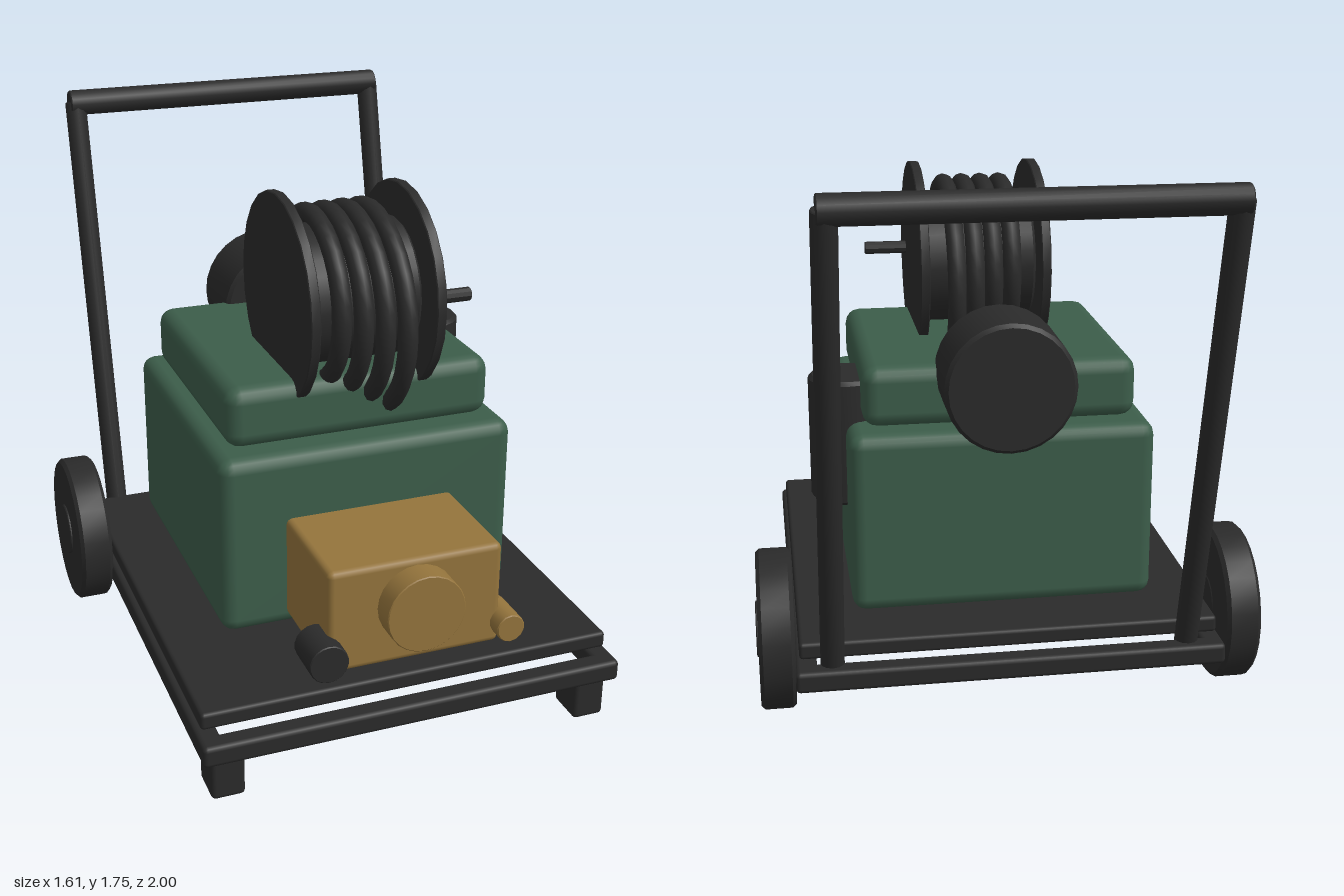
import * as THREE from 'three';
import { toCreasedNormals } from 'three/addons/utils/BufferGeometryUtils.js';
import { RoundedBoxGeometry } from 'three/addons/geometries/RoundedBoxGeometry.js';

function flatColour(name, color) {
  const m = new THREE.MeshStandardMaterial({ color });
  m.name = name;
  return m;
}

export function createModel() {
  const model = new THREE.Group();
  model.name = 'portableWasher';
  const black = flatColour('black', 0x2a2a2a);
  const green = flatColour('green', 0x3c5d4a);
  const brass = flatColour('brass', 0x94743c);

  function add(name, geometry, material, x, y, z, parent = model) {
    const mesh = new THREE.Mesh(geometry, material);
    mesh.name = name;
    mesh.position.set(x, y, z);
    parent.add(mesh);
    return mesh;
  }

  // Rounded box given by its lower and upper corners
  function box(name, material, [x0, y0, z0], [x1, y1, z1], radius) {
    const geometry = new RoundedBoxGeometry(x1 - x0, y1 - y0, z1 - z0, 2, radius);
    return add(name, geometry, material, (x0 + x1) / 2, (y0 + y1) / 2, (z0 + z1) / 2);
  }

  // Cylinder with bevelled rims, along the x, y or z axis
  function drum(name, material, axis, radius, length, bevel, position, sides = 24, parent = model) {
    const h = length / 2;
    const profile = [[0, -h], [radius - bevel, -h], [radius, -h + bevel],
      [radius, h - bevel], [radius - bevel, h], [0, h]];
    const lathe = new THREE.LatheGeometry(profile.map(p => new THREE.Vector2(...p)), sides);
    const geometry = toCreasedNormals(lathe, 0.6);
    if (axis === 'x') geometry.rotateZ(-Math.PI / 2);
    if (axis === 'z') geometry.rotateX(Math.PI / 2);
    return add(name, geometry, material, ...position, parent);
  }

  // Base frame and deck
  box('frontRail', black, [-0.69, 0.14, 0.91], [0.69, 0.21, 0.98], 0.015);
  box('rearRail', black, [-0.69, 0.14, -0.66], [0.69, 0.21, -0.59], 0.015);
  for (const s of [-1, 1]) {
    const side = s < 0 ? 'right' : 'left';
    box(side + 'Rail', black, [s * 0.655 - 0.035, 0.14, -0.66], [s * 0.655 + 0.035, 0.21, 0.98], 0.015);
    box(side + 'Foot', black, [s * 0.607 - 0.053, 0, 0.82], [s * 0.607 + 0.053, 0.14, 0.95], 0.015);

    // Wheels with raised hubs
    drum(side + 'Wheel', black, 'x', 0.257, 0.112, 0.012, [s * 0.743, 0.26, -0.42], 28);
    drum(side + 'Hub', black, 'x', 0.09, 0.122, 0.003, [s * 0.745, 0.26, -0.42], 16);

    // Sloping handle uprights
    const bottom = new THREE.Vector3(s * 0.572, 0.19, -0.59);
    const top = new THREE.Vector3(s * 0.572, 1.71, -0.95);
    const upright = drum(side + 'HandleUpright', black, 'y', 0.038, bottom.distanceTo(top), 0.003,
      bottom.clone().lerp(top, 0.5).toArray(), 12);
    upright.quaternion.setFromUnitVectors(new THREE.Vector3(0, 1, 0), top.clone().sub(bottom).normalize());
  }
  box('deck', black, [-0.675, 0.222, -0.59], [0.675, 0.277, 0.905], 0.012);
  drum('handleGrip', black, 'x', 0.045, 1.19, 0.004, [0, 1.708, -0.95], 14);

  // Engine housing
  box('housing', green, [-0.493, 0.3, -0.443], [0.493, 0.897, 0.547], 0.045);
  box('housingTop', green, [-0.443, 0.897, -0.37], [0.443, 1.097, 0.47], 0.05);

  // Pump with end cap, outlet and knob
  box('pump', brass, [-0.282, 0.338, 0.5], [0.282, 0.68, 0.92], 0.02);
  drum('pumpCap', brass, 'z', 0.126, 0.12, 0.003, [0, 0.535, 0.94]);
  drum('outlet', brass, 'z', 0.046, 0.14, 0.003, [0.295, 0.41, 0.905], 14);
  drum('knob', black, 'z', 0.062, 0.14, 0.003, [-0.298, 0.41, 0.905], 18);

  // Rear muffler and side canister
  drum('muffler', black, 'z', 0.208, 0.267, 0.012, [0, 1.07, -0.436], 28);
  drum('canister', black, 'y', 0.125, 0.42, 0.012, [0.48, 0.82, -0.16], 20);

  // Hose reel: core, flanges, crank and sagging hose loops
  const reel = new THREE.Group();
  reel.name = 'hoseReel';
  reel.position.set(0, 1.314, 0.27);
  model.add(reel);
  drum('reelCore', black, 'x', 0.222, 0.38, 0.012, [0, 0, 0], 24, reel);
  for (const s of [-1, 1]) {
    drum('reelFlange', black, 'x', 0.333, 0.032, 0.003, [s * 0.203, 0, 0], 24, reel);
  }
  drum('crank', black, 'x', 0.022, 0.165, 0.002, [0.283, 0, 0.178], 10, reel);
  for (let i = 0; i < 4; i++) {
    const loop = new THREE.TorusGeometry(0.265 + i * 0.0185, 0.031, 10, 32);
    loop.rotateY(Math.PI / 2);
    add('hoseLoop', loop, black, -0.097 + i * 0.0647, -0.01 - i * 0.0185, 0, reel);
  }

  return model;
}
